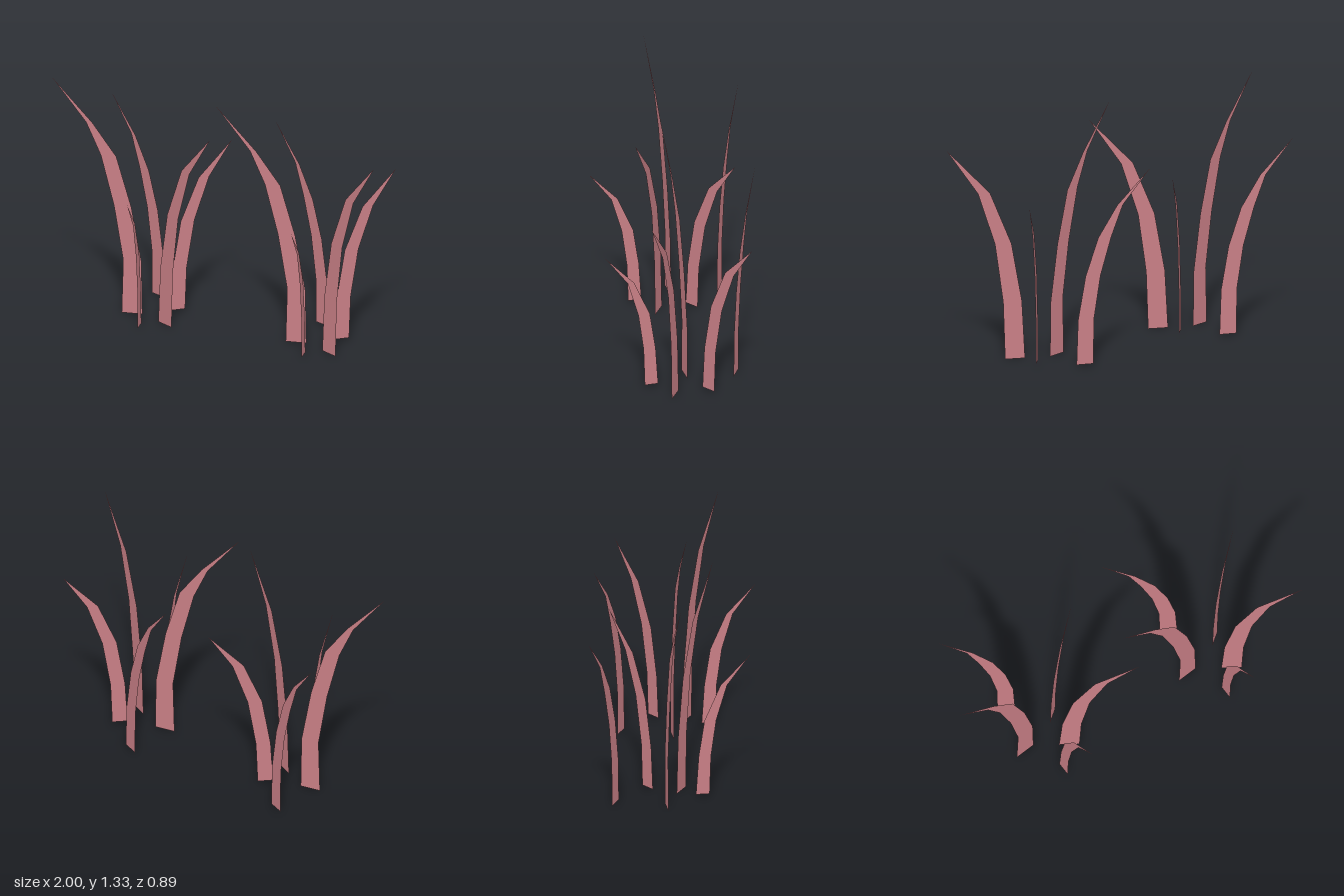
import * as THREE from 'three';

// Each blade is a flat upright strip: rows of [y, edgeA, edgeB] along its lean axis, plus a pointed tip.
// place(u, y) maps the lean coordinate to a 3D point in the blade's own plane.
const BLADES = [
  {
    name: 'tallLeftBlade', tip: [1.33, -1.0],
    rows: [[0, -0.626, -0.516], [0.305, -0.618, -0.521], [0.615, -0.667, -0.575], [0.9, -0.737, -0.655], [1.085, -0.816, -0.783]],
    place: (x, y) => [x, y, -0.003 - (x + 0.516) * 0.28],
  },
  {
    name: 'tallRightBlade', tip: [1.19, 0.02],
    rows: [[0, -0.388, -0.285], [0.32, -0.372, -0.275], [0.645, -0.318, -0.233], [0.935, -0.207, -0.145]],
    place: (x, y) => [x, y, 0.049 + (x + 0.388) * 0.38],
  },
  {
    name: 'backLeftBlade', tip: [1.083, -0.917],
    rows: [[0.01, -0.61, -0.52], [0.26, -0.613, -0.528], [0.5, -0.648, -0.568], [0.71, -0.705, -0.635], [0.885, -0.767, -0.737]],
    place: (x, y) => [x, y, -0.251 + (x + 0.52) * 0.32],
  },
  {
    name: 'shortFrontBlade', tip: [0.82, 0.444],
    rows: [[0.02, 0.158, 0.23], [0.24, 0.172, 0.237], [0.45, 0.203, 0.265], [0.65, 0.287, 0.322]],
    place: (z, y) => [-0.432 + (z - 0.158) * 0.25, y, z],
  },
  {
    name: 'shortBackBlade', tip: [0.968, -0.342],
    rows: [[0.02, -0.142, -0.08], [0.26, -0.149, -0.09], [0.53, -0.182, -0.124], [0.77, -0.244, -0.199]],
    place: (z, y) => [-0.15 - (z + 0.342) * 0.9, y, z],
  },
];

function bladeGeometry({ rows, tip, place }) {
  const positions = [], index = [];
  for (const [y, a, b] of rows) positions.push(...place(a, y), ...place(b, y));
  positions.push(...place(tip[1], tip[0]));
  for (let i = 0; i < rows.length - 1; i++) {
    const k = i * 2;
    index.push(k, k + 1, k + 3, k, k + 3, k + 2);
  }
  const last = (rows.length - 1) * 2;
  index.push(last, last + 1, last + 2);
  const geometry = new THREE.BufferGeometry();
  geometry.setAttribute('position', new THREE.Float32BufferAttribute(positions, 3));
  geometry.setIndex(index);
  geometry.computeVertexNormals();
  return geometry;
}

export function createModel() {
  const model = new THREE.Group();
  model.name = 'grassTufts';
  const material = new THREE.MeshStandardMaterial({ color: 0xc97f86, side: THREE.DoubleSide });
  material.name = 'dusty pink';

  // Two identical tufts side by side
  const shapes = BLADES.map(bladeGeometry);
  [['rightTuft', 0, 0], ['leftTuft', 0.976, -0.065]].forEach(([name, x, z]) => {
    const tuft = new THREE.Group();
    tuft.name = name;
    tuft.position.set(x, 0, z);
    BLADES.forEach((blade, i) => {
      const mesh = new THREE.Mesh(shapes[i], material);
      mesh.name = blade.name;
      tuft.add(mesh);
    });
    model.add(tuft);
  });
  return model;
}
